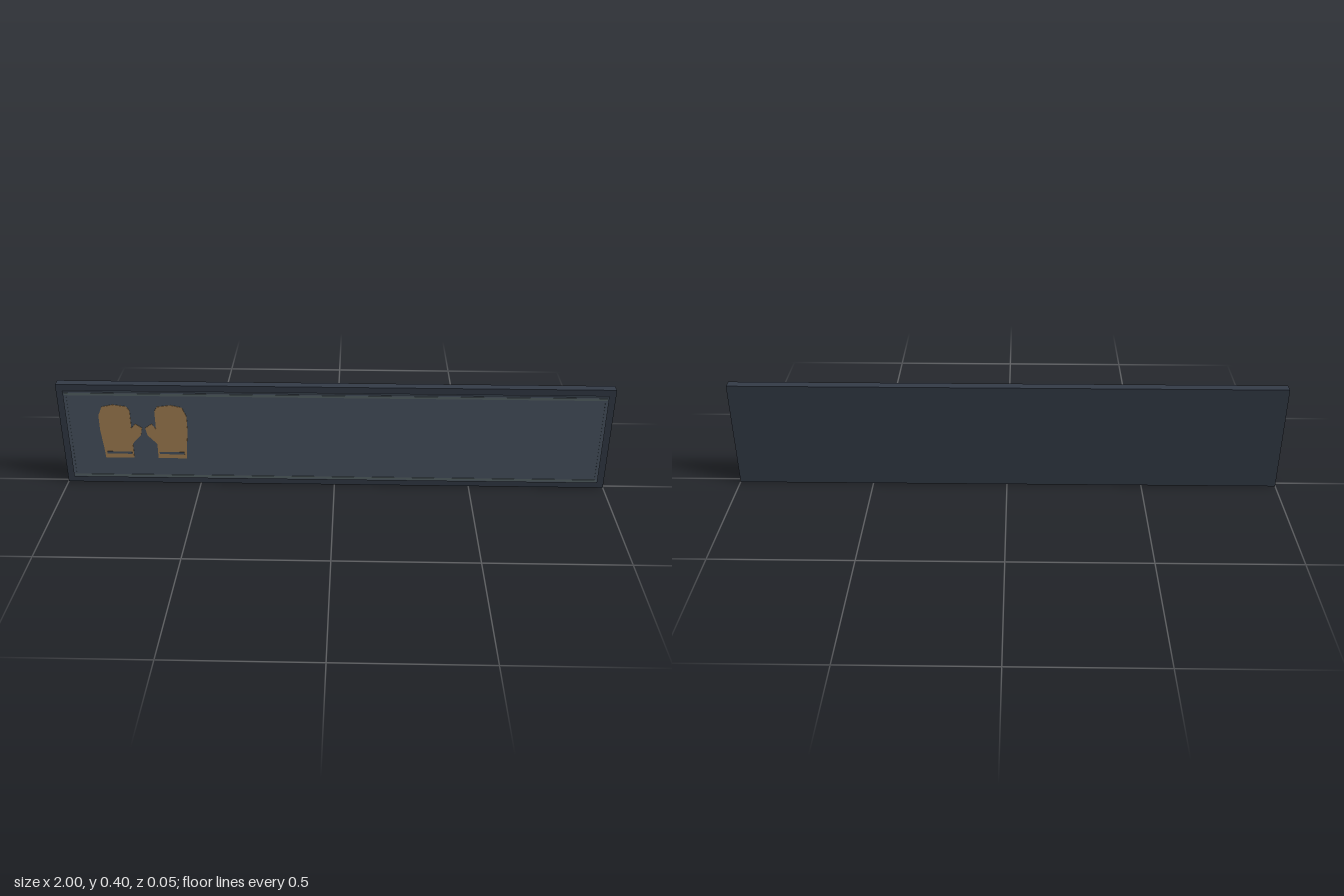
import * as THREE from 'three';

const mat = (color) => new THREE.MeshStandardMaterial({ color });
const frameMat = mat(0x343c48), panelMat = mat(0x4b5663), railMat = mat(0x59666a);
const mittenMat = mat(0xa88355), stripeMat = mat(0x4b5663);

// Box given by its centre in x and y, and its back and front in z
function box(name, material, w, h, x, y, z0, z1) {
  const mesh = new THREE.Mesh(new THREE.BoxGeometry(w, h, z1 - z0), material);
  mesh.position.set(x, y, (z0 + z1) / 2);
  mesh.name = name;
  return mesh;
}

// Mitten outline, thumb towards +x, relative to the gap between the pair
const outline = [
  [-0.15, 0.11], [-0.045, 0.11], [-0.045, 0.17], [-0.012, 0.205], [-0.006, 0.235],
  [-0.03, 0.252], [-0.045, 0.232], [-0.045, 0.305], [-0.056, 0.322], [-0.105, 0.329],
  [-0.145, 0.32], [-0.16, 0.285], [-0.16, 0.225], [-0.152, 0.145],
];

function createMitten(side) {
  const mitten = new THREE.Group();
  mitten.name = side < 0 ? 'rightMitten' : 'leftMitten';
  const pts = outline.map(([x, y]) => new THREE.Vector2(-side * x, y));
  const geo = new THREE.ExtrudeGeometry(new THREE.Shape(pts), { depth: 0.002, bevelEnabled: false });
  const hand = new THREE.Mesh(geo, mittenMat);
  hand.position.z = 0.0195;
  hand.name = 'hand';
  mitten.add(hand, box('cuffStripe', stripeMat, 0.092, 0.009, side * 0.097, 0.132, 0.0215, 0.023));
  mitten.position.x = -0.695;
  return mitten;
}

export function createModel() {
  const sign = new THREE.Group();
  sign.name = 'signBoard';
  const H = 0.404, midY = H / 2;

  // Backing board and raised front panel
  sign.add(box('backingBoard', frameMat, 2, H, 0, midY, -0.022, 0.013));
  sign.add(box('frontPanel', panelMat, 1.95, 0.356, 0, midY, 0.013, 0.0195));

  // Thin trim along the panel edges
  for (const s of [-1, 1]) {
    sign.add(box(s > 0 ? 'topTrim' : 'bottomTrim', railMat, 1.94, 0.009, 0, midY + s * 0.168, 0.0195, 0.0215));
    sign.add(box(s > 0 ? 'leftTrim' : 'rightTrim', panelMat, 0.007, 0.327, s * 0.9665, midY, 0.0195, 0.0205));
  }

  // Pair of mittens, thumbs facing each other
  for (const s of [-1, 1]) sign.add(createMitten(s));
  return sign;
}
